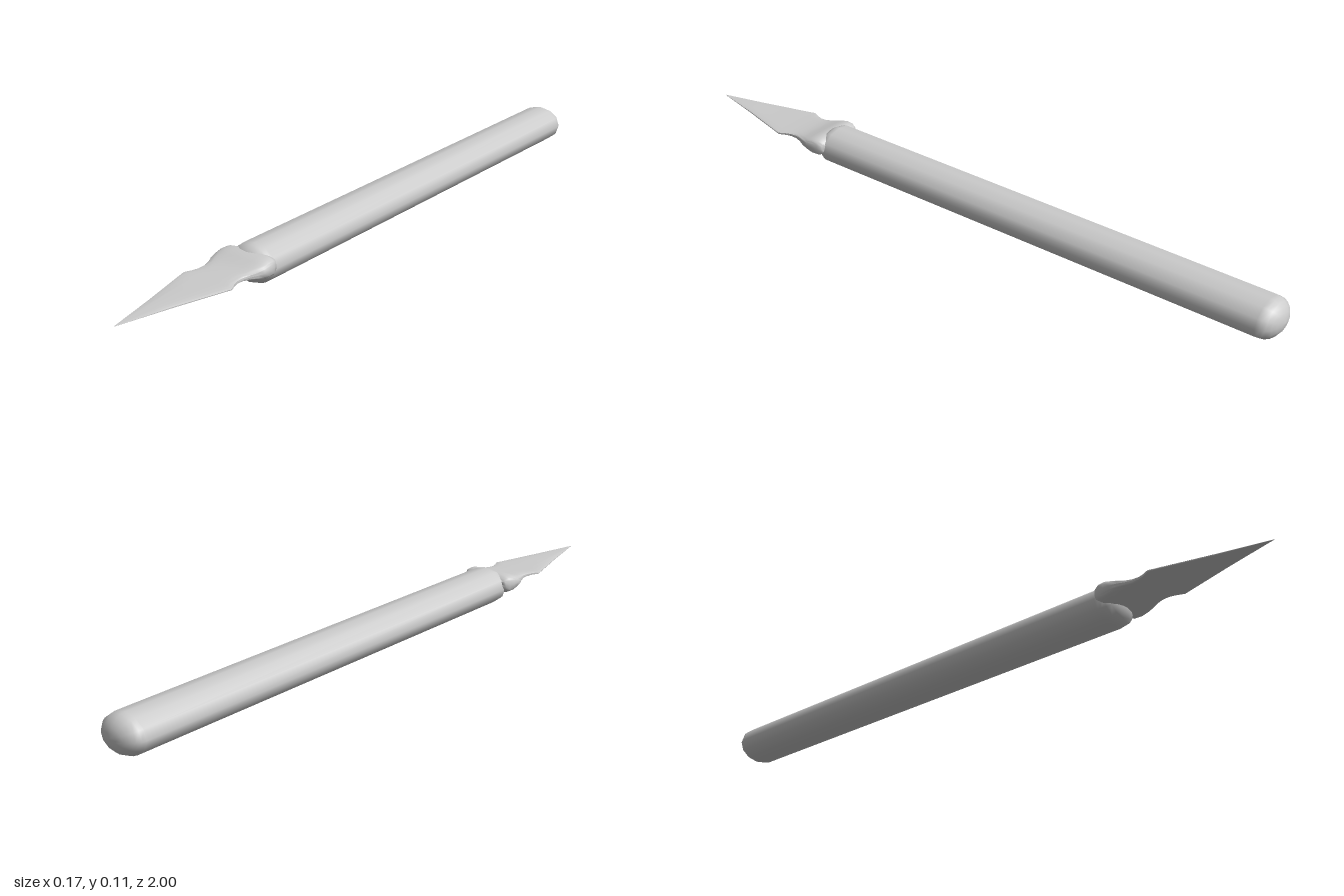
import * as THREE from 'three';
import { toCreasedNormals } from 'three/addons/utils/BufferGeometryUtils.js';

const material = new THREE.MeshStandardMaterial({ color: 0xcccccc });

// Twelve-sided oval shaft with a dome at each end
function handleGeometry() {
  const points = [];
  const steps = 6;
  for (let i = 0; i <= steps; i++) {
    const a = (i / steps) * Math.PI / 2;
    points.push(new THREE.Vector2(Math.sin(a), -0.95 - 0.05 * Math.cos(a)));
  }
  for (let i = 0; i <= steps; i++) {
    const a = (i / steps) * Math.PI / 2;
    points.push(new THREE.Vector2(Math.cos(a), 0.5 + 0.05 * Math.sin(a)));
  }
  const geometry = new THREE.LatheGeometry(points, 12);
  geometry.rotateX(Math.PI / 2);
  geometry.scale(0.073, 0.055, 1);
  // Restore unit normals after the uneven scaling
  const normal = geometry.attributes.normal;
  const v = new THREE.Vector3();
  for (let i = 0; i < normal.count; i++) {
    v.fromBufferAttribute(normal, i).normalize();
    normal.setXYZ(i, v.x, v.y, v.z);
  }
  return geometry;
}

// Rounded slab cross-sections joined along z: [z, half width, half thickness]
function loftGeometry(sections, sides, power) {
  const positions = [];
  const index = [];
  const round = (t) => Math.sign(t) * Math.pow(Math.abs(t), 2 / power);
  for (const [z, w, h] of sections) {
    for (let j = 0; j < sides; j++) {
      const a = (j / sides) * Math.PI * 2;
      positions.push(w * round(Math.cos(a)), h * round(Math.sin(a)), z);
    }
  }
  for (let i = 0; i < sections.length - 1; i++) {
    for (let j = 0; j < sides; j++) {
      const k = (j + 1) % sides;
      const a = i * sides + j, b = i * sides + k;
      index.push(a, b, b + sides, a, b + sides, a + sides);
    }
  }
  const geometry = new THREE.BufferGeometry();
  geometry.setAttribute('position', new THREE.Float32BufferAttribute(positions, 3));
  geometry.setIndex(index);
  return toCreasedNormals(geometry, 0.8);
}

export function createModel() {
  const group = new THREE.Group();
  group.name = 'knife';

  const handle = new THREE.Mesh(handleGeometry(), material);
  handle.name = 'handle';
  handle.position.y = 0.055;
  group.add(handle);

  // Thick collar thinning through a waist into a pointed blade
  const blade = new THREE.Mesh(loftGeometry([
    [0.51, 0.001, 0.001],
    [0.5, 0.07, 0.014],
    [0.505, 0.077, 0.022],
    [0.52, 0.084, 0.029],
    [0.54, 0.087, 0.028],
    [0.56, 0.086, 0.022],
    [0.58, 0.082, 0.016],
    [0.6, 0.073, 0.011],
    [0.62, 0.067, 0.009],
    [0.64, 0.067, 0.007],
    [0.66, 0.073, 0.006],
    [0.68, 0.083, 0.005],
    [0.7, 0.078, 0.004],
    [0.85, 0.037, 0.003],
    [1, 0.0005, 0.0005],
  ], 28, 4), material);
  blade.name = 'blade';
  blade.position.y = 0.067;
  group.add(blade);

  return group;
}
